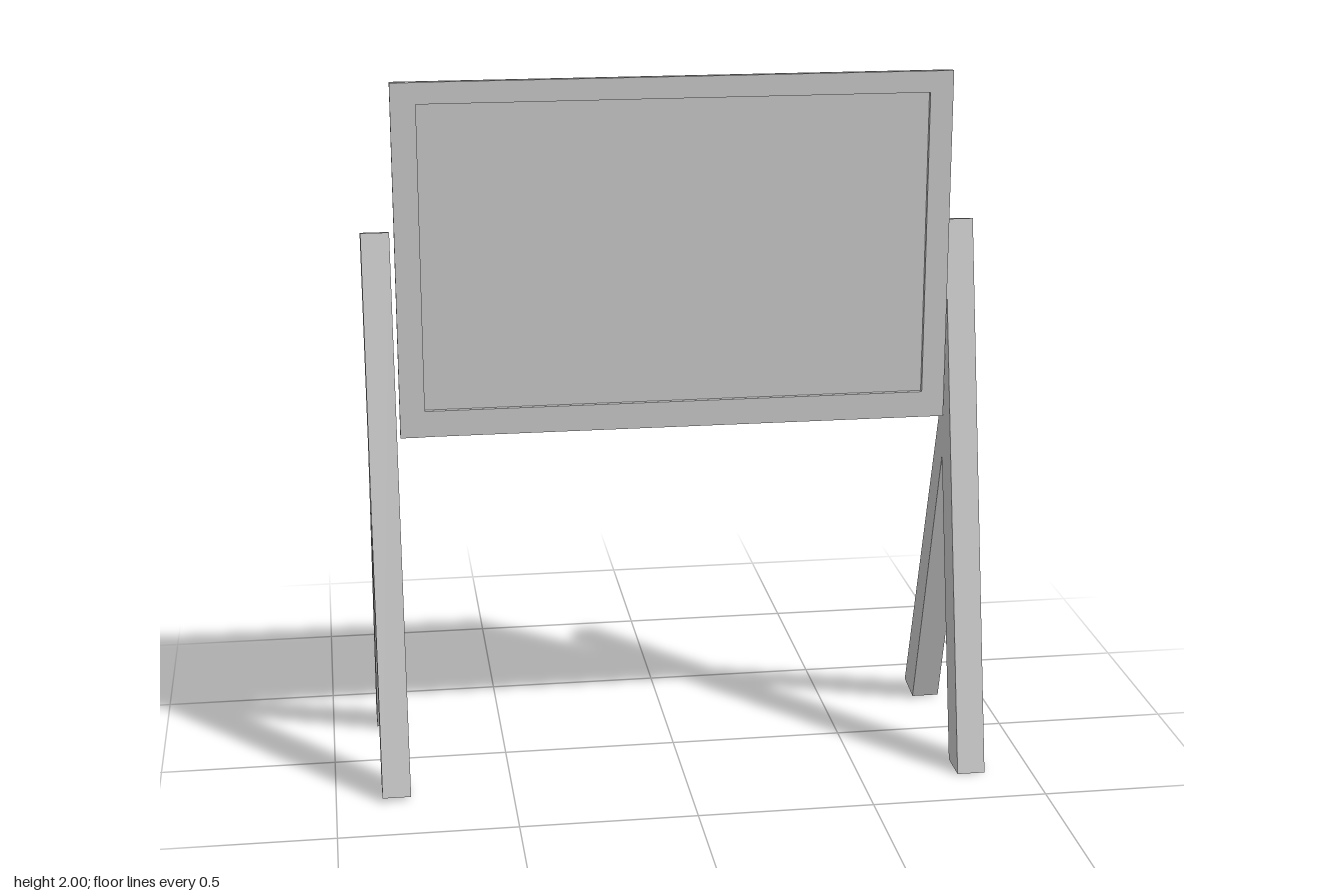
import * as THREE from 'three';

const material = new THREE.MeshStandardMaterial({ color: 0xcccccc, flatShading: true });

function box(name, x0, x1, y0, y1, z0, z1) {
  const mesh = new THREE.Mesh(new THREE.BoxGeometry(x1 - x0, y1 - y0, z1 - z0), material);
  mesh.position.set((x0 + x1) / 2, (y0 + y1) / 2, (z0 + z1) / 2);
  mesh.name = name;
  return mesh;
}

// Slanted beam: a side outline given as [z, y] corners, extruded across x
function beam(name, x0, width, corners) {
  const shape = new THREE.Shape(corners.map(([z, y]) => new THREE.Vector2(-z, y)));
  const geometry = new THREE.ExtrudeGeometry(shape, { depth: width, bevelEnabled: false });
  geometry.rotateY(Math.PI / 2);
  const mesh = new THREE.Mesh(geometry, material);
  mesh.position.x = x0;
  mesh.name = name;
  return mesh;
}

export function createModel() {
  const model = new THREE.Group();
  model.name = 'signboard';

  // Board: backing panel behind a thin raised frame
  const board = new THREE.Group();
  board.name = 'board';
  board.add(
    box('panel', -0.77, 0.77, 1.04, 1.995, 0, 0.037),
    box('leftStile', 0.715, 0.78, 1.0, 2, 0.036, 0.051),
    box('rightStile', -0.78, -0.71, 1.0, 2, 0.036, 0.054),
    box('topRail', -0.71, 0.715, 1.94, 2, 0.036, 0.051),
    box('bottomRail', -0.71, 0.715, 1.0, 1.075, 0.036, 0.051),
  );
  model.add(board);

  // Trestles: a long post leaning back and a short strut behind it
  const trestles = [
    { name: 'left', x: 0.785, dz: 0, foot: 0 },
    { name: 'right', x: -0.87, dz: -0.044, foot: 0.012 },
  ];
  for (const { name, x, dz, foot } of trestles) {
    const trestle = new THREE.Group();
    trestle.name = name + 'Trestle';
    trestle.add(
      beam('frontLeg', x, 0.08, [
        [0.335 + dz, foot], [0.232 + dz, foot], [-0.115 + dz, 1.545], [-0.012 + dz, 1.566],
      ]),
      beam('backLeg', x, 0.08, [
        [-0.23, 0.006], [-0.336, 0.02], [0.0, 1.03], [0.068, 0.98],
      ]),
    );
    model.add(trestle);
  }
  return model;
}
